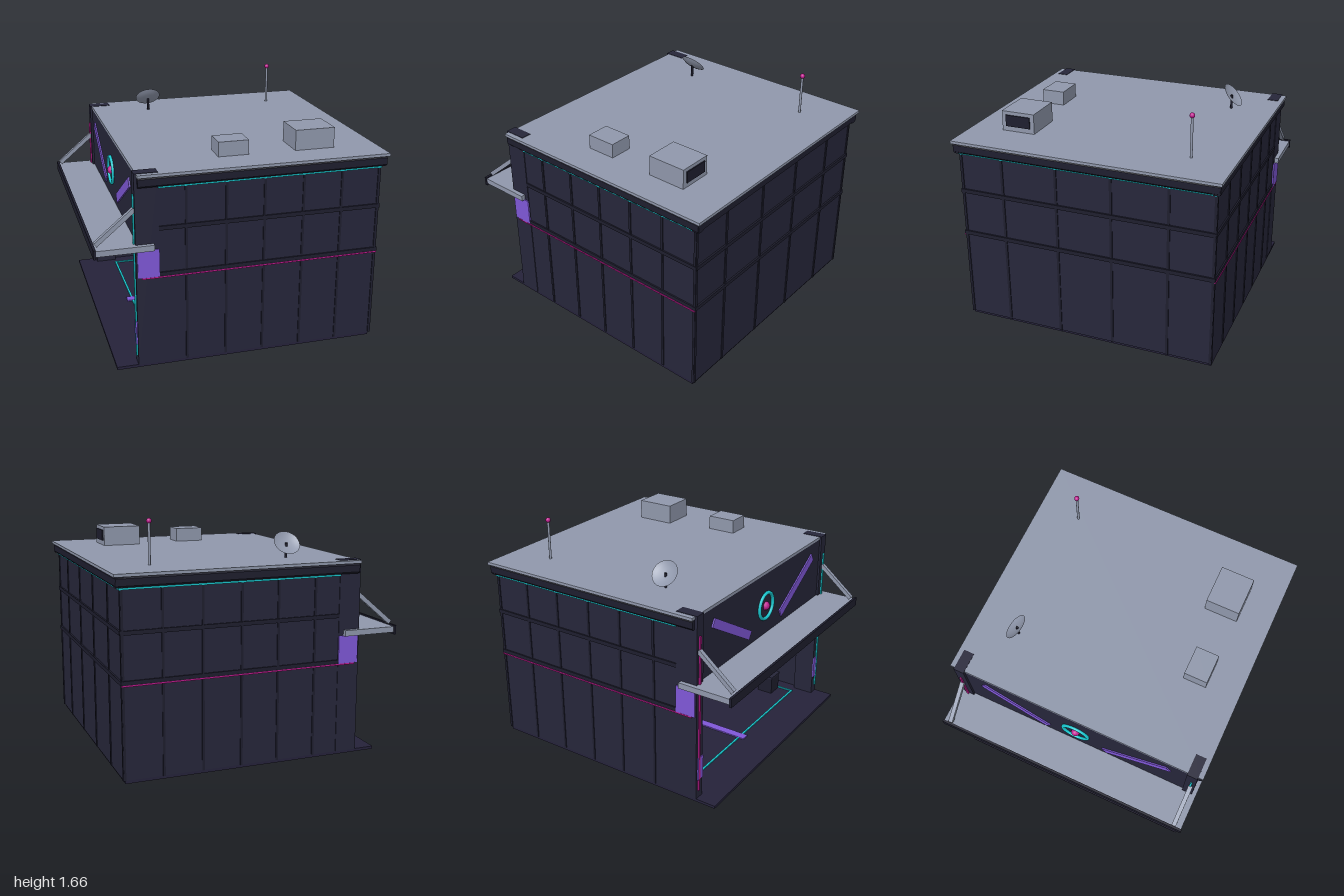
import * as THREE from 'three';

const mat = (name, color, double) => {
  const m = new THREE.MeshStandardMaterial({ color });
  m.name = name;
  if (double) m.side = THREE.DoubleSide;
  return m;
};

export function createModel() {
  const wall = mat('darkWall', 0x26263a);
  const trim = mat('darkTrim', 0x1e1e2e);
  const floorMat = mat('floorDark', 0x25223a);
  const metal = mat('greyMetal', 0x9098ac, true);
  const purple = mat('purplePanel', 0x8058d8);
  const cyan = mat('cyanNeon', 0x18c8d0);
  const pink = mat('pinkNeon', 0xc01c90);

  const root = new THREE.Group();
  root.name = 'kioskBuilding';
  const add = (name, geo, m, x = 0, y = 0, z = 0) => {
    const mesh = new THREE.Mesh(geo, m);
    mesh.name = name;
    mesh.position.set(x, y, z);
    root.add(mesh);
    return mesh;
  };
  // Box given by its minimum and maximum on each axis
  const box = (name, m, x0, x1, y0, y1, z0, z1) =>
    add(name, new THREE.BoxGeometry(x1 - x0, y1 - y0, z1 - z0), m,
      (x0 + x1) / 2, (y0 + y1) / 2, (z0 + z1) / 2);
  // Same box on the +z and -z sides
  const pair = (name, m, x0, x1, y0, y1, z0, z1) => {
    box(name, m, x0, x1, y0, y1, z0, z1);
    box(name, m, x0, x1, y0, y1, -z1, -z0);
  };

  // Base and walls
  box('base', floorMat, -0.87, 0.94, 0, 0.02, -0.9, 0.9);
  pair('sideWall', wall, -0.6, 0.95, 0.02, 1.34, 0.87, 0.9);
  box('endWall', wall, 0.92, 0.95, 0.02, 1.34, -0.87, 0.87);

  // Wall ribs
  for (const x of [-0.39, -0.12, 0.14, 0.41, 0.68, 0.944])
    pair('sideRib', trim, x - 0.008, x + 0.008, 0.02, 1.27, 0.9, 0.906);
  for (const z of [-0.895, -0.59, -0.195, 0.195, 0.59, 0.895])
    box('endRib', trim, 0.95, 0.956, 0.02, 1.27, z - 0.009, z + 0.009);
  for (const y of [0.665, 0.985]) {
    pair('sideBand', trim, -0.57, 0.96, y - 0.014, y + 0.014, 0.9, 0.91);
    box('endBand', trim, 0.95, 0.962, y - 0.014, y + 0.014, -0.905, 0.905);
  }

  // Neon lines around the outside
  pair('pinkLine', pink, -0.69, 0.955, 0.642, 0.652, 0.9, 0.914);
  pair('cyanLine', cyan, -0.57, 0.955, 1.256, 1.27, 0.9, 0.91);
  box('cyanEndLine', cyan, 0.95, 0.962, 1.256, 1.27, -0.91, 0.91);

  // Chamfered roof trim: octagonal section run along each edge
  const section = (len) => {
    const s = new THREE.Shape();
    const w = 0.03, h = 0.035, c = 0.012;
    [[-w, -h + c], [-w + c, -h], [w - c, -h], [w, -h + c], [w, h - c], [w - c, h], [-w + c, h], [-w, h - c]]
      .forEach(([x, y], i) => (i ? s.lineTo(x, y) : s.moveTo(x, y)));
    return new THREE.ExtrudeGeometry(s, { depth: len, bevelEnabled: false }).translate(0, 0, -len / 2);
  };
  for (const s of [1, -1])
    add('sideRoofTrim', section(1.69), trim, 0.14, 1.305, s * 0.9).rotation.y = Math.PI / 2;
  add('endRoofTrim', section(1.85), trim, 0.957, 1.305, 0);
  box('roof', metal, -0.71, 1, 1.34, 1.36, -0.94, 0.94);

  // Open end: pillars with neon strips and panels
  pair('pillar', wall, -0.725, -0.57, 0.02, 1.363, 0.83, 0.905);
  [[1, cyan, 'cyanStrip'], [-1, pink, 'pinkStrip']].forEach(([s, m, name]) => {
    add(name, new THREE.BoxGeometry(0.01, 1.14, 0.015), m, -0.73, 0.65, s * 0.875);
    add('pillarPlate', new THREE.BoxGeometry(0.009, 0.17, 0.06), purple, -0.7285, 0.25, s * 0.86);
  });
  pair('purpleSidePanel', purple, -0.715, -0.57, 0.652, 0.845, 0.905, 0.913);

  // Sign board above the opening with ring emblem and slanted bars
  box('signBoard', wall, -0.71, -0.67, 0.86, 1.34, -0.83, 0.83);
  add('emblemRing', new THREE.TorusGeometry(0.095, 0.013, 10, 32), cyan, -0.715, 1.1, 0).rotation.y = Math.PI / 2;
  add('emblemCore', new THREE.IcosahedronGeometry(0.032, 1), pink, -0.71, 1.1, 0);
  for (const s of [1, -1])
    add('slantedBar', new THREE.BoxGeometry(0.016, 0.065, 0.56), purple, -0.712, 1.1, s * 0.46)
      .rotation.x = -s * Math.atan2(0.28, 0.48);

  // Canopy, its edge, struts and underside lights
  box('canopy', metal, -0.985, -0.605, 0.845, 0.885, -0.935, 0.935);
  box('canopyEdge', trim, -1, -0.983, 0.83, 0.895, -0.94, 0.94);
  for (const x of [-0.93, -0.78])
    box('canopyLight', cyan, x - 0.009, x + 0.009, 0.838, 0.846, -0.85, 0.85);
  for (const s of [1, -1])
    add('canopyStrut', new THREE.BoxGeometry(0.335, 0.03, 0.03), metal, -0.85, 1.015, s * 0.878)
      .rotation.z = Math.atan2(0.21, 0.25);

  // Interior floor lights and furniture
  box('floorLightFront', cyan, -0.585, -0.57, 0.02, 0.028, -0.77, 0.77);
  box('floorLightBack', cyan, 0.075, 0.09, 0.02, 0.028, -0.77, 0.77);
  pair('floorLightSide', cyan, -0.585, 0.09, 0.02, 0.028, 0.76, 0.775);
  box('floorStripe', purple, -0.62, 0.5, 0.02, 0.029, -0.09, -0.03);
  for (const x of [-0.4, -0.22]) {
    box('crate', trim, x - 0.06, x + 0.06, 0.02, 0.15, 0.64, 0.76);
    box('crateLid', wall, x - 0.065, x + 0.065, 0.15, 0.165, 0.635, 0.765);
  }
  add('roundStool', new THREE.CylinderGeometry(0.12, 0.12, 0.1, 20), trim, 0, 0.07, 0.62);

  // Roof vents
  box('smallRoofUnit', metal, -0.12, 0.09, 1.36, 1.46, 0.54, 0.705);
  box('largeRoofUnit', metal, 0.415, 0.692, 1.36, 1.5, 0.47, 0.71);
  box('ventGrille', trim, 0.692, 0.7, 1.395, 1.475, 0.5, 0.68);

  // Antenna
  add('antennaMast', new THREE.CylinderGeometry(0.009, 0.009, 0.28, 10), metal, 0.68, 1.5, -0.64);
  add('antennaTip', new THREE.SphereGeometry(0.018, 12, 8), pink, 0.68, 1.645, -0.64);

  // Dish opening upward and to the back
  add('dishStem', new THREE.CylinderGeometry(0.009, 0.009, 0.1, 8), trim, -0.3, 1.41, -0.625);
  const bowl = [[0, -0.018], [0.04, -0.014], [0.07, -0.007], [0.094, 0.004]].map((p) => new THREE.Vector2(...p));
  add('dish', new THREE.LatheGeometry(bowl, 28), metal, -0.3, 1.46, -0.633).rotation.x = -0.85;

  return root;
}
